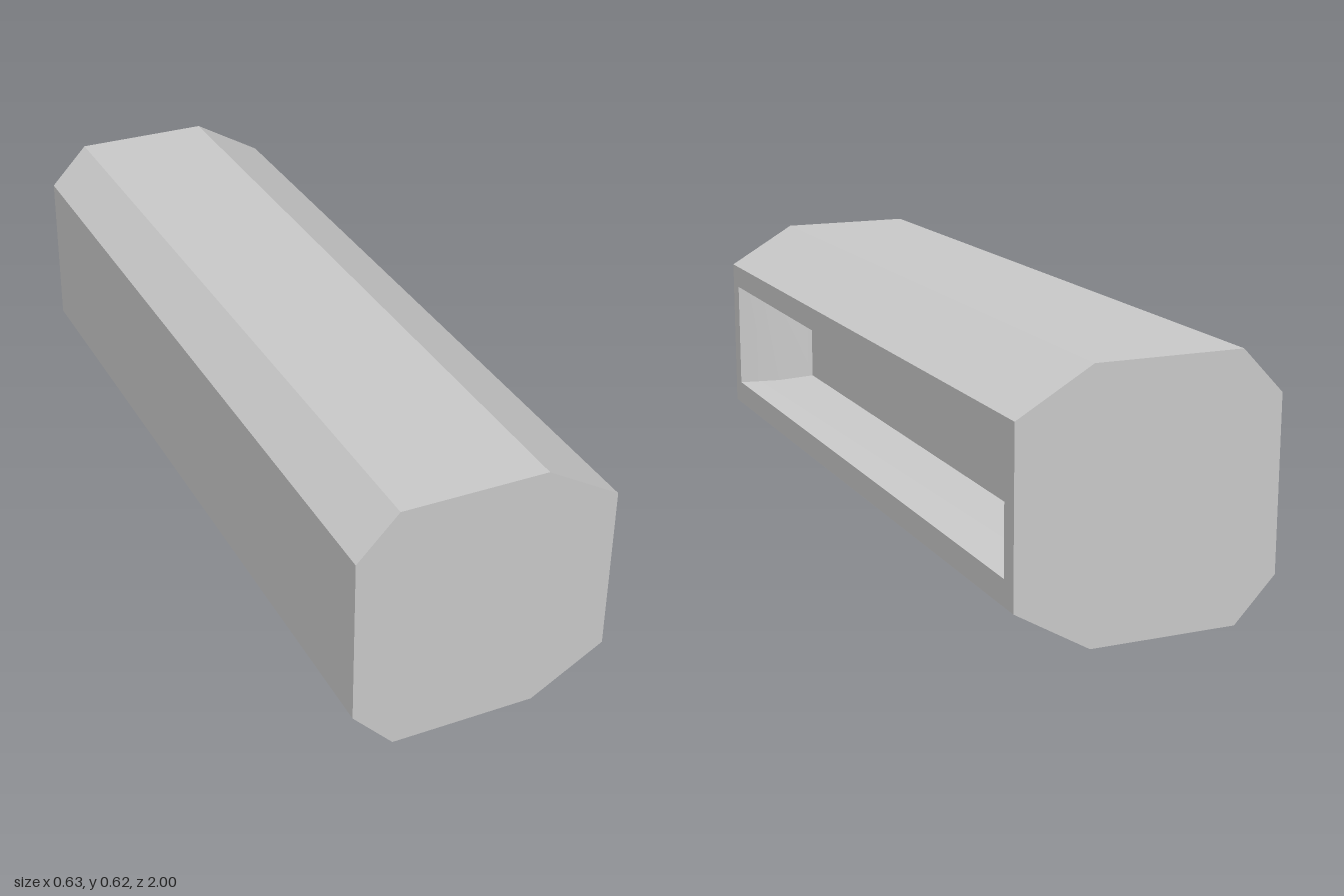
import * as THREE from 'three';

// Joins successive rows of two points into one strip; smooth along the strip.
function strip(rows) {
  const geometry = new THREE.BufferGeometry();
  const index = [];
  for (let i = 0; i < rows.length - 1; i++) {
    const k = i * 2;
    index.push(k, k + 1, k + 3, k, k + 3, k + 2);
  }
  geometry.setAttribute('position', new THREE.Float32BufferAttribute(rows.flat(2), 3));
  geometry.setIndex(index);
  geometry.computeVertexNormals();
  return geometry;
}

export function createModel() {
  const model = new THREE.Group();
  model.name = 'recessedBeam';
  const grey = new THREE.MeshStandardMaterial({ color: 0xcccccc });
  grey.name = 'grey';

  const add = (name, geometry, parent = model) => {
    const mesh = new THREE.Mesh(geometry, grey);
    mesh.name = name;
    parent.add(mesh);
    return mesh;
  };

  // Eight-sided outline, counter-clockwise from the front
  const outline = [
    [0.317, 0.105], [0.317, 0.518], [0.137, 0.623], [-0.217, 0.623],
    [-0.317, 0.518], [-0.317, 0.105], [-0.217, 0], [0.137, 0],
  ];
  const points = outline.map(([x, y]) => new THREE.Vector2(x, y));

  // Flat end caps
  add('frontCap', new THREE.ShapeGeometry(new THREE.Shape(points)).translate(0, 0, 1));
  const mirrored = points.map((p) => new THREE.Vector2(-p.x, p.y)).reverse();
  add('backCap', new THREE.ShapeGeometry(new THREE.Shape(mirrored)).rotateY(Math.PI).translate(0, 0, -1));

  // Long outer panels, all but the one with the recess
  const shell = new THREE.Group();
  shell.name = 'outerPanels';
  model.add(shell);
  for (let i = 1; i < outline.length; i++) {
    const a = outline[i], b = outline[(i + 1) % outline.length];
    add('panel' + i, strip([[[...a, 1], [...a, -1]], [[...b, 1], [...b, -1]]]), shell);
  }

  // Rings of the recess, from the opening inwards: x, half length, bottom, top
  const rings = [
    [0.317, 0.952, 0.167, 0.458],
    [0.22, 0.882, 0.18, 0.444],
    [0.122, 0.861, 0.19, 0.432],
  ].map(([x, h, y0, y1]) => [[x, y0, h], [x, y0, -h], [x, y1, -h], [x, y1, h]]);

  // Panel with the rectangular opening
  const toFace = (p) => new THREE.Vector2(-p[2], p[1]);
  const face = new THREE.Shape([[-1, 0.105], [1, 0.105], [1, 0.518], [-1, 0.518]]
    .map(([u, v]) => new THREE.Vector2(u, v)));
  face.holes.push(new THREE.Path(rings[0].map(toFace)));
  add('openingFrame', new THREE.ShapeGeometry(face).rotateY(Math.PI / 2).translate(0.317, 0, 0));

  // Tapered walls and back of the recess
  const recess = new THREE.Group();
  recess.name = 'recess';
  model.add(recess);
  ['recessFloor', 'recessBackEnd', 'recessCeiling', 'recessFrontEnd'].forEach((name, i) => {
    add(name, strip(rings.map((r) => [r[i], r[(i + 1) % 4]])), recess);
  });
  const back = new THREE.Shape(rings[2].map(toFace));
  add('recessBack', new THREE.ShapeGeometry(back).rotateY(Math.PI / 2).translate(rings[2][0][0], 0, 0), recess);

  return model;
}
